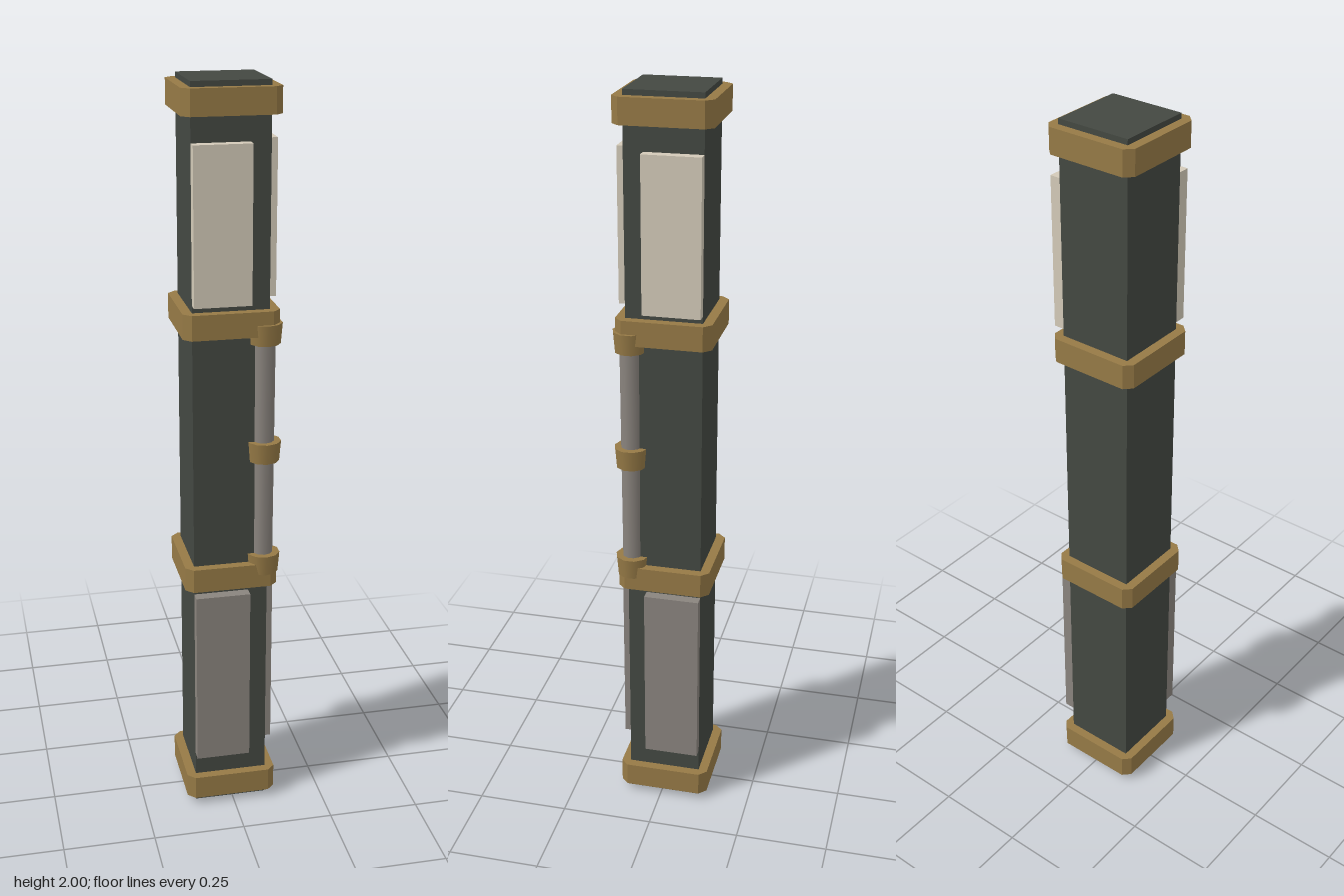
import * as THREE from 'three';

const mat = (color) => new THREE.MeshStandardMaterial({ color, flatShading: true });

export function createModel() {
  const model = new THREE.Group();
  model.name = 'bandedPost';
  const dark = mat(0x444842);
  const brass = mat(0x967a46);
  const cream = mat(0xd3cab8);
  const grey = mat(0x8a847e);
  const smoothGrey = new THREE.MeshStandardMaterial({ color: 0x8a847e });
  const smoothBrass = new THREE.MeshStandardMaterial({ color: 0x967a46 });

  const add = (name, geometry, material, x, y, z) => {
    const mesh = new THREE.Mesh(geometry, material);
    mesh.name = name;
    mesh.position.set(x, y, z);
    model.add(mesh);
    return mesh;
  };

  // Square post, slightly off centre because the fittings sit on two sides
  const cx = -0.005, cz = -0.007;
  add('post', new THREE.BoxGeometry(0.2, 2, 0.2), dark, cx, 1, cz);

  // Brass bands with chamfered corners
  const h = 0.125, c = 0.105;
  const outline = new THREE.Shape([
    [c, -h], [h, -c], [h, c], [c, h], [-c, h], [-h, c], [-h, -c], [-c, -h],
  ].map(([x, y]) => new THREE.Vector2(x, y)));
  const bandGeometry = new THREE.ExtrudeGeometry(outline, { depth: 0.066, bevelEnabled: false });
  bandGeometry.translate(0, 0, -0.033).rotateX(-Math.PI / 2);
  for (const y of [0.053, 0.703, 1.403, 1.953]) add('band', bandGeometry, brass, cx, y, cz);

  // Raised panels on the front and left faces
  for (const [name, y, height, material] of [
    ['lowerPanel', 0.403, 0.5, grey],
    ['upperPanel', 1.655, 0.4, cream],
  ]) {
    add(name + 'Front', new THREE.BoxGeometry(0.148, height, 0.03), material, -0.031, y, 0.108);
    add(name + 'Left', new THREE.BoxGeometry(0.028, height, 0.15), material, 0.109, y, -0.032);
  }

  // Corner pipe held by three tapered collars
  add('pipe', new THREE.CylinderGeometry(0.029, 0.027, 0.66, 10), smoothGrey, 0.084, 1.053, 0.083);
  const collar = new THREE.CylinderGeometry(0.0455, 0.041, 0.055, 10);
  for (const y of [0.733, 1.053, 1.373]) add('collar', collar, smoothBrass, 0.085, y, 0.083);

  return model;
}
